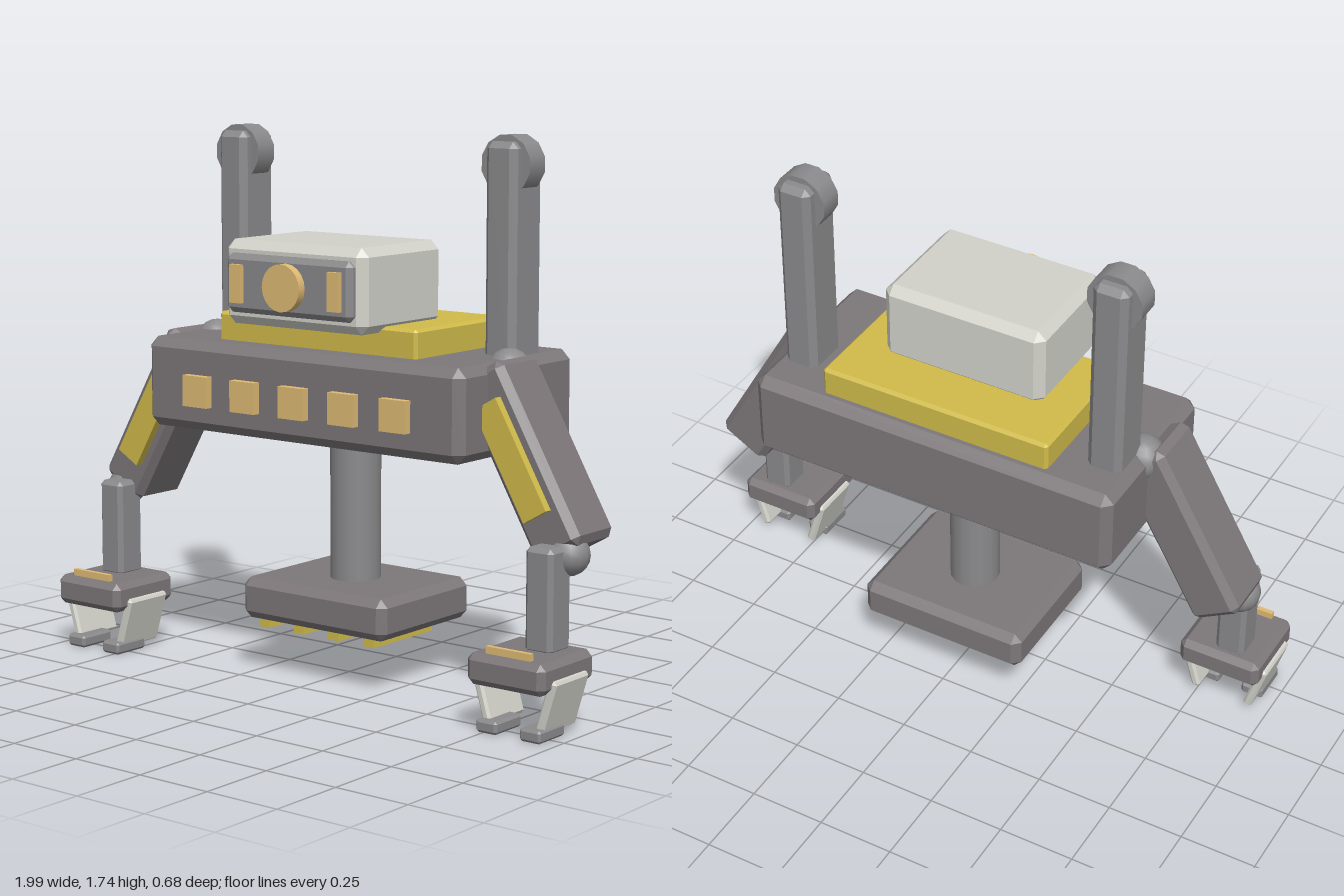
import * as THREE from 'three';
import { ConvexGeometry } from 'three/addons/geometries/ConvexGeometry.js';

const mat = (color) => {
  const m = new THREE.MeshStandardMaterial();
  m.color.set(color);
  return m;
};
const dark = mat(0x7d7779), steel = mat(0x8a8a8c), pale = mat(0xd2d2ca);
const yellow = mat(0xd0bb4a), amber = mat(0xdfba74);

// Box with every edge chamfered by c
function chamferBox(w, h, d, c) {
  const pts = [];
  for (const sx of [-1, 1]) for (const sy of [-1, 1]) for (const sz of [-1, 1]) {
    for (let k = 0; k < 3; k++) {
      const cut = [c, c, c];
      cut[k] = 0;
      pts.push(new THREE.Vector3(sx * (w / 2 - cut[0]), sy * (h / 2 - cut[1]), sz * (d / 2 - cut[2])));
    }
  }
  return new ConvexGeometry(pts);
}

function add(parent, name, geometry, material, x, y, z) {
  const mesh = new THREE.Mesh(geometry, material);
  mesh.name = name;
  mesh.position.set(x, y, z);
  parent.add(mesh);
  return mesh;
}

const block = (p, name, m, [w, h, d], [x, y, z], c = 0) =>
  add(p, name, c ? chamferBox(w, h, d, c) : new THREE.BoxGeometry(w, h, d), m, x, y, z);

const ball = (p, name, r, x, y, z) =>
  add(p, name, new THREE.SphereGeometry(r, 14, 10), steel, x, y, z);

// Tower, arm and gripper of one side; s = 1 is the model's left
function buildSide(s) {
  const side = new THREE.Group();
  side.name = s > 0 ? 'leftSide' : 'rightSide';

  // Upright tower with a drum at its top
  block(side, 'tower', steel, [0.115, 0.68, 0.157], [s * 0.537, 1.385, -0.128], 0.02);
  const drum = new THREE.CylinderGeometry(0.092, 0.092, 0.08, 12);
  drum.rotateY(Math.PI / 12).rotateX(Math.PI / 2);
  add(side, 'towerDrum', drum, steel, s * 0.537, 1.655, -0.125);

  // Slanted upper arm with its panel
  ball(side, 'shoulder', 0.072, s * 0.59, 1.033, -0.04);
  const arm = new THREE.Group();
  arm.name = 'upperArm';
  arm.position.set(s * 0.735, 0.79, 0.024);
  arm.rotation.z = s * Math.PI / 6;
  block(arm, 'armShell', dark, [0.18, 0.6, 0.21], [0, 0, 0], 0.022);
  block(arm, 'armPanel', yellow, [0.092, 0.37, 0.03], [0, 0.012, 0.117]);
  side.add(arm);

  // Forearm
  ball(side, 'elbow', 0.065, s * 0.895, 0.527, 0.08);
  block(side, 'forearm', steel, [0.098, 0.32, 0.11], [s * 0.865, 0.4, 0.145], 0.014);

  // Gripper
  const hand = new THREE.Group();
  hand.name = 'gripper';
  hand.position.set(s * 0.842, 0, 0.2);
  block(hand, 'palm', dark, [0.278, 0.096, 0.28], [0, 0.203, 0], 0.02);
  block(hand, 'palmLight', amber, [0.16, 0.022, 0.016], [0, 0.263, 0.107]);
  for (const f of [-1, 1]) {
    const finger = block(hand, 'finger', pale, [0.03, 0.175, 0.18], [f * 0.115, 0.112, 0], 0.008);
    finger.rotation.z = -f * 0.29;
    block(hand, 'fingertip', steel, [0.075, 0.04, 0.135], [f * 0.078, 0.028, 0.047], 0.008);
  }
  side.add(hand);
  return side;
}

export function createModel() {
  const model = new THREE.Group();
  model.name = 'robot';

  // Body with a row of lights
  block(model, 'body', dark, [1.26, 0.29, 0.605], [0, 0.93, -0.035], 0.03);
  for (let i = -2; i <= 2; i++) {
    block(model, 'bodyLight', amber, [0.1, 0.1, 0.04], [i * 0.198, 0.917, 0.274]);
  }
  block(model, 'deck', yellow, [0.79, 0.11, 0.465], [0, 1.11, -0.06], 0.01);

  // Head with face plate and eyes
  const head = new THREE.Group();
  head.name = 'head';
  block(head, 'headShell', pale, [0.56, 0.265, 0.405], [0, 1.278, 0.082], 0.028);
  block(head, 'facePlate', steel, [0.5, 0.185, 0.06], [0, 1.278, 0.28], 0.018);
  const eye = new THREE.CylinderGeometry(0.074, 0.074, 0.04, 20).rotateX(Math.PI / 2);
  add(head, 'centreEye', eye, amber, 0, 1.278, 0.318);
  for (const s of [-1, 1]) {
    block(head, 'sideEye', amber, [0.045, 0.12, 0.03], [s * 0.195, 1.278, 0.311]);
  }
  model.add(head);

  // Pedestal
  const column = new THREE.CylinderGeometry(0.082, 0.082, 0.52, 16);
  add(model, 'column', column, steel, 0, 0.55, -0.033);
  block(model, 'base', dark, [0.58, 0.134, 0.466], [0, 0.249, -0.033], 0.026);
  for (let i = 0; i < 4; i++) {
    block(model, 'baseStrip', yellow, [0.042, 0.04, 0.3], [(i - 1.5) * 0.142, 0.175, 0.02]);
  }

  model.add(buildSide(1), buildSide(-1));
  return model;
}
